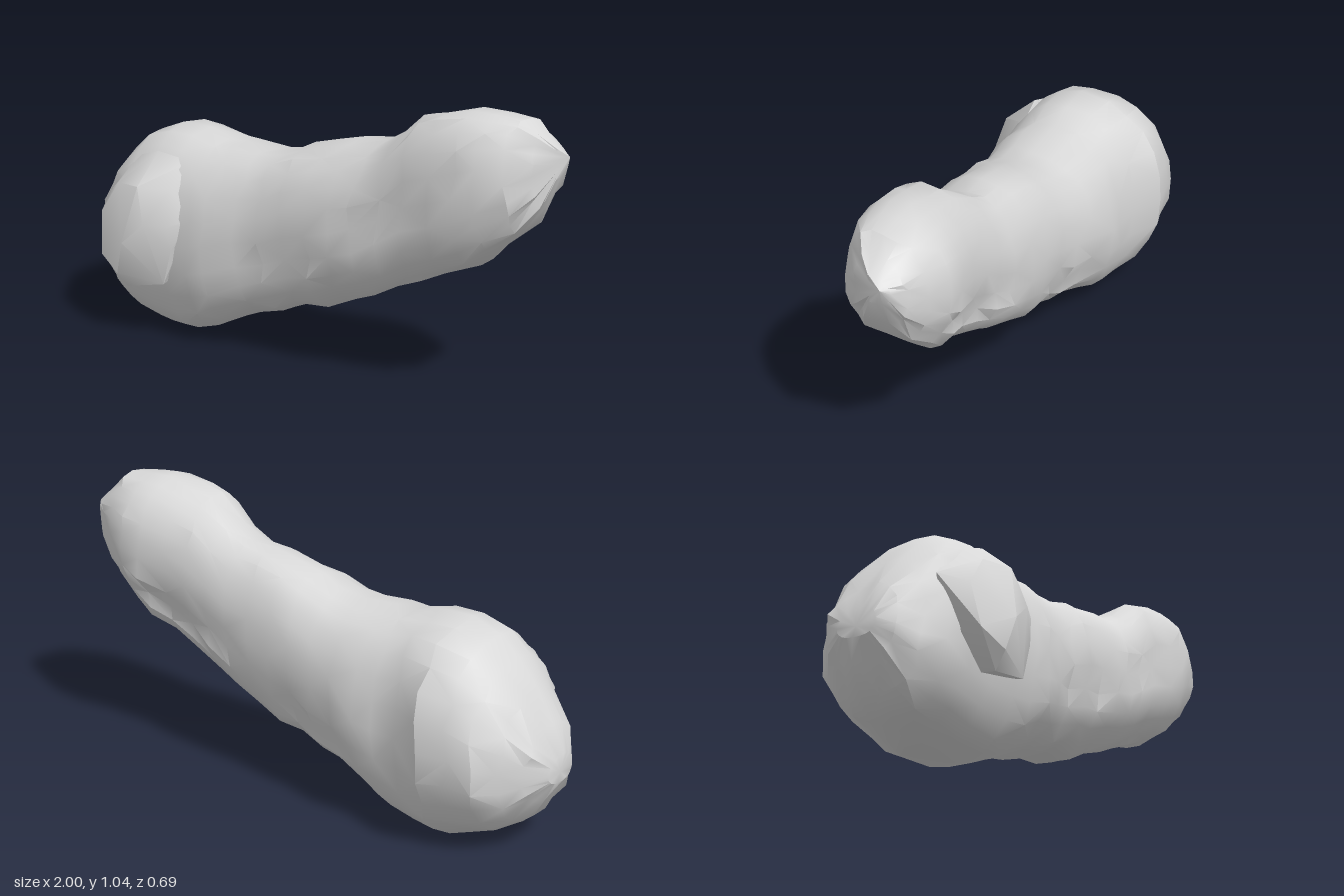
import * as THREE from 'three';
import { toCreasedNormals } from 'three/addons/utils/BufferGeometryUtils.js';
import { ConvexGeometry } from 'three/addons/geometries/ConvexGeometry.js';

// Stations along the length: x, top y, bottom y, back z, front z
const STATIONS = [
  [-1, 0.38, 0.28, -0.1, 0.06], [-0.96, 0.48, 0.21, -0.19, 0.12], [-0.89, 0.6, 0.11, -0.24, 0.17],
  [-0.81, 0.69, 0.06, -0.31, 0.22], [-0.73, 0.76, 0.04, -0.33, 0.25], [-0.62, 0.795, 0.01, -0.35, 0.26],
  [-0.5, 0.79, 0.01, -0.29, 0.27], [-0.4, 0.765, 0.04, -0.28, 0.27], [-0.32, 0.765, 0.08, -0.28, 0.28],
  [-0.2, 0.765, 0.14, -0.25, 0.24], [-0.1, 0.78, 0.165, -0.23, 0.23], [0, 0.82, 0.21, -0.22, 0.23],
  [0.1, 0.85, 0.22, -0.21, 0.22], [0.2, 0.87, 0.27, -0.2, 0.22], [0.3, 0.88, 0.31, -0.19, 0.22],
  [0.4, 0.93, 0.36, -0.175, 0.21], [0.5, 1.01, 0.41, -0.17, 0.21], [0.6, 1.03, 0.46, -0.17, 0.21],
  [0.7, 1.055, 0.5, -0.19, 0.21], [0.78, 1.055, 0.56, -0.19, 0.19], [0.87, 1.045, 0.64, -0.155, 0.15],
  [0.935, 1.0, 0.74, -0.12, 0.08], [0.98, 0.955, 0.85, -0.08, 0.0],
];
const SIDES = 24;

// Height of the long crease on each side
const lerp = THREE.MathUtils.lerp;
const creaseFront = (x) => (x < 0 ? 0.45 + 0.08 * x : x < 0.4 ? lerp(0.45, 0.66, x / 0.4) : 0.66 + (x - 0.4) * 0.85);
const creaseBack = (x) => 0.4 + 0.42 * x;

function seeded(seed) {
  return () => {
    seed = (seed * 16807) % 2147483647;
    return seed / 2147483647;
  };
}

// Lumpy closed skin lofted through the stations
function bodyGeometry() {
  const rand = seeded(71);
  const pos = [];
  const index = [];
  STATIONS.forEach(([x, top, bottom, back, front], i) => {
    const h = (top - bottom) / 2;
    const end = i === 0 || i === STATIONS.length - 1;
    for (let j = 0; j < SIDES; j++) {
      const t = (j / SIDES) * Math.PI * 2;
      const c = Math.cos(t), s = Math.sin(t);
      const r = 1 - rand() * 0.035 + 0.012 * Math.sin(3 * t + x * 9);
      // the lower front edge of the thick end is squarer
      const square = x < -0.3 && c > 0 && s < 0 ? 0.66 : 0.82;
      let z = (c > 0 ? front : -back) * Math.sign(c) * Math.abs(c) ** square * r;
      let y = (top + bottom) / 2 + h * Math.sign(s) * Math.abs(s) ** 0.92 * Math.min(r, 1);
      // the raised end leans up toward the front
      if (x > 0.4) y += 0.2 * z * Math.max(s, 0);
      // step inward just below the crease
      const d = y - (c > 0 ? creaseFront(x) : creaseBack(x));
      if (x > -0.25 && x < 0.72 && Math.abs(c) > 0.5 && d < 0 && d > -0.06) z -= Math.sign(c) * 0.02;
      pos.push(x + (end ? 0 : (rand() - 0.5) * 0.03), Math.max(y, 0), z);
    }
  });
  const last = STATIONS.length - 1;
  for (let i = 0; i < last; i++) {
    for (let j = 0; j < SIDES; j++) {
      const a = i * SIDES + j, b = i * SIDES + ((j + 1) % SIDES);
      const c = a + SIDES, d = b + SIDES;
      if ((i + j) % 2) index.push(a, c, b, c, d, b);
      else index.push(a, c, d, a, d, b);
    }
  }
  // end caps
  const n = pos.length / 3;
  pos.push(-1, 0.32, -0.02, 1, 0.92, -0.05);
  for (let j = 0; j < SIDES; j++) {
    const k = (j + 1) % SIDES;
    index.push(n, j, k, n + 1, last * SIDES + k, last * SIDES + j);
  }
  const g = new THREE.BufferGeometry();
  g.setAttribute('position', new THREE.Float32BufferAttribute(pos, 3));
  g.setIndex(index);
  return toCreasedNormals(g, 0.55);
}

// Overhanging angular bulge that fades upward into the body
function knobGeometry() {
  const corners = [
    [-0.8, 0.48, 0.28], [-0.78, 0.32, 0.31], [-0.67, 0.21, 0.29], [-0.5, 0.25, 0.28],
    [-0.64, 0.4, 0.35], [-0.55, 0.48, 0.33], [-0.47, 0.48, 0.29], [-0.46, 0.39, 0.28],
    [-0.68, 0.27, 0.335], [-0.6, 0.61, 0.3], [-0.72, 0.6, 0.27], [-0.48, 0.61, 0.25],
    [-0.77, 0.33, 0.15], [-0.66, 0.24, 0.15], [-0.5, 0.28, 0.15],
    [-0.6, 0.72, 0.18], [-0.72, 0.68, 0.16], [-0.46, 0.7, 0.16], [-0.85, 0.52, 0.18], [-0.4, 0.5, 0.24],
  ];
  return toCreasedNormals(new ConvexGeometry(corners.map((p) => new THREE.Vector3(...p))), 0.6);
}

export function createModel() {
  const group = new THREE.Group();
  const grey = new THREE.MeshStandardMaterial({ color: 0xd8d8d8 });
  grey.name = 'stone grey';
  const add = (name, geometry) => {
    const mesh = new THREE.Mesh(geometry, grey);
    mesh.name = name;
    group.add(mesh);
  };
  add('body', bodyGeometry());
  add('frontKnob', knobGeometry());
  return group;
}
